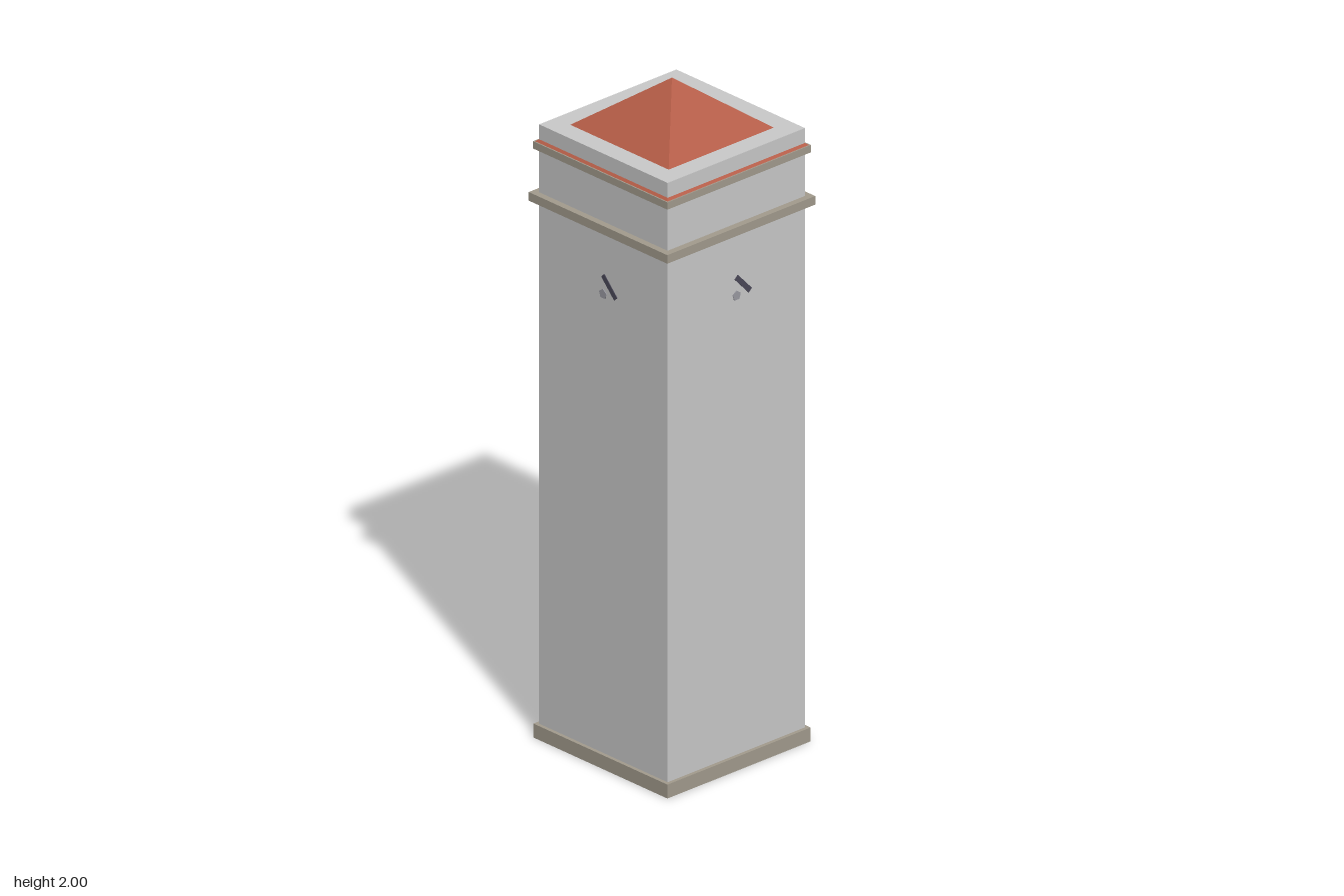
import * as THREE from 'three';

export function createModel() {
  const tower = new THREE.Group();
  tower.name = 'tower';

  const material = (name, color) => {
    const m = new THREE.MeshStandardMaterial({ color });
    m.name = name;
    return m;
  };
  const wall = material('wall grey', 0xcacaca);
  const stone = material('trim stone', 0xa39c8e);
  const tile = material('roof tile red', 0xb35b46);
  const handDark = material('clock hand dark', 0x4a4858);
  const pinGrey = material('clock pin grey', 0x9a9aa2);

  const add = (parent, name, geometry, mat) => {
    const mesh = new THREE.Mesh(geometry, mat);
    mesh.name = name;
    parent.add(mesh);
    return mesh;
  };

  // Square block given by its half width and its bottom and top heights
  const block = (name, half, y0, y1, mat) => {
    const mesh = add(tower, name, new THREE.BoxGeometry(half * 2, y1 - y0, half * 2), mat);
    mesh.position.y = (y0 + y1) / 2;
  };

  // Shaft with parapet, and the stone bands around it
  block('shaft', 0.257, 0.005, 1.853, wall);
  block('plinth', 0.268, 0, 0.042, stone);
  block('lowerCornice', 0.277, 1.622, 1.648, stone);
  block('upperCornice', 0.269, 1.78, 1.802, stone);

  // Pyramid roof, whose eaves show below the parapet
  const eave = 0.265;
  const roofGeometry = new THREE.ConeGeometry(eave * Math.SQRT2, 0.198, 4, 1)
    .toNonIndexed();
  roofGeometry.rotateY(Math.PI / 4);
  roofGeometry.computeVertexNormals();
  const roof = add(tower, 'roof', roofGeometry, tile);
  roof.position.y = 1.901;

  // Clock on each side: a five-sided pin, and a hand on all sides but the back
  const pinGeometry = new THREE.CylinderGeometry(0.015, 0.015, 0.006, 5);
  pinGeometry.rotateX(Math.PI / 2);
  pinGeometry.rotateZ(Math.PI);
  const handGeometry = new THREE.BoxGeometry(0.076, 0.016, 0.004);
  ['front', 'left', 'back', 'right'].forEach((side, i) => {
    const clock = new THREE.Group();
    clock.name = side + 'Clock';
    clock.rotation.y = i * Math.PI / 2;
    tower.add(clock);
    add(clock, 'pin', pinGeometry, pinGrey).position.set(0, 1.43, 0.257);
    if (side !== 'back') {
      const hand = add(clock, 'hand', handGeometry, handDark);
      hand.position.set(0.025, 1.458, 0.257);
      hand.rotation.z = -Math.PI * 0.26;
    }
  });

  return tower;
}
